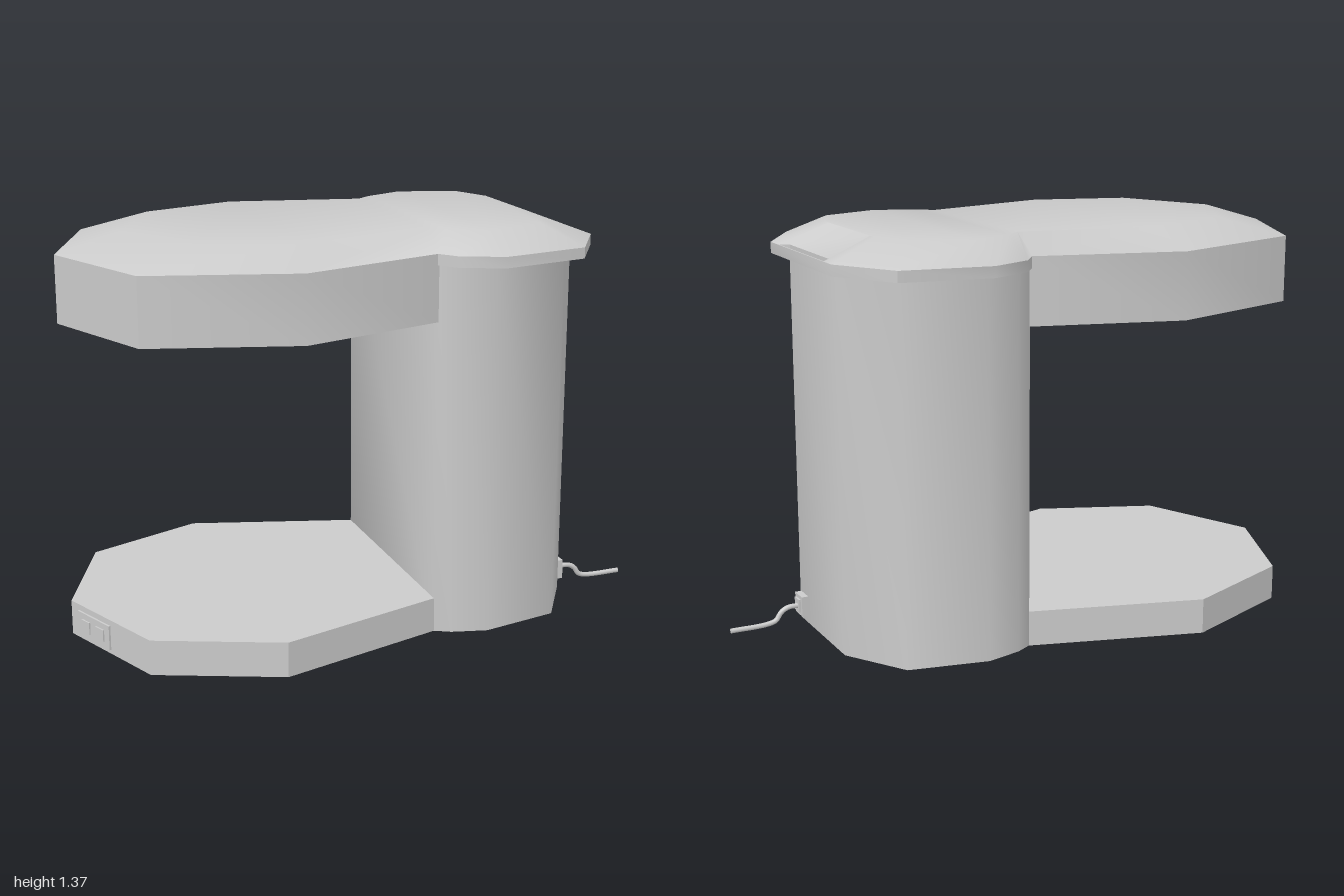
import * as THREE from 'three';
import { toCreasedNormals } from 'three/addons/utils/BufferGeometryUtils.js';

const material = new THREE.MeshStandardMaterial({ color: 0xcccccc });

function addMesh(parent, name, geometry) {
  const mesh = new THREE.Mesh(geometry, material);
  mesh.name = name;
  parent.add(mesh);
  return mesh;
}

// Closed plan outline from its +z half, mirrored across the x axis
function planShape(half) {
  const mirrored = half.filter(([, z]) => z > 0).reverse().map(([x, z]) => [x, -z]);
  return new THREE.Shape([...half, ...mirrored].map(([x, z]) => new THREE.Vector2(x, -z)));
}

// Upright prism of a plan shape between two heights
function prism(shape, y0, y1, crease) {
  const g = new THREE.ExtrudeGeometry(shape, { depth: y1 - y0, bevelEnabled: false });
  g.rotateX(-Math.PI / 2).translate(0, y0, 0);
  return toCreasedNormals(g, crease);
}

// Low dome: each station runs outer edge, inner edge, then both mirrored
function domeGeometry(outer, inner, yEdge, yTop) {
  const pos = [], index = [];
  outer.forEach(([ox, oz], i) => {
    const [ix, iz] = inner[i];
    pos.push(ox, yEdge, oz, ix, yTop, iz, ix, yTop, -iz, ox, yEdge, -oz);
  });
  for (let i = 0; i < outer.length - 1; i++) {
    for (let j = 0; j < 3; j++) {
      const a = i * 4 + j, b = a + 4;
      index.push(a, b, b + 1, a, b + 1, a + 1);
    }
  }
  const e = (outer.length - 1) * 4;
  index.push(e, e + 3, e + 2, e, e + 2, e + 1);
  const g = new THREE.BufferGeometry();
  g.setAttribute('position', new THREE.Float32BufferAttribute(pos, 3));
  g.setIndex(index);
  return toCreasedNormals(g, 0.8);
}

export function createModel() {
  const model = new THREE.Group();
  model.name = 'machine';

  // Base tray and overhanging head share a faceted nose
  const tray = [[-1, 0], [-0.83, 0.41], [-0.42, 0.578], [0.16, 0.405]];
  const head = [[-1, 0], [-0.83, 0.41], [-0.34, 0.55], [0.16, 0.405]];
  addMesh(model, 'baseTray', prism(planShape(tray), 0, 0.12, 0.6));
  addMesh(model, 'head', prism(planShape(head), 1.08, 1.305, 0.6));

  // Tall rear column
  const column = [[0.155, 0.405], [0.21, 0.435], [0.33, 0.465], [0.6, 0.41], [0.73, 0.2]];
  addMesh(model, 'column', prism(planShape(column), 0, 1.275, 1.1));

  // Lid rim over the column, with a slot at the back
  const lidEdge = [[0.15, 0.41], [0.2, 0.475], [0.34, 0.53], [0.64, 0.475], [0.77, 0.27]];
  const rim = planShape(lidEdge);
  rim.holes.push(new THREE.Path([
    [0.735, -0.18], [0.735, 0.18], [0.766, 0.2], [0.766, -0.2],
  ].map(([x, y]) => new THREE.Vector2(x, y))));
  addMesh(model, 'lidRim', prism(rim, 1.268, 1.305, 0.6));

  // Domed top across head and lid
  const outer = [...head.slice(0, 3), ...lidEdge, [0.766, 0.2], [0.735, 0.18]];
  const inner = [[-0.78, 0], [-0.62, 0.31], [-0.3, 0.41], [0.15, 0.31], [0.2, 0.35],
    [0.34, 0.41], [0.54, 0.35], [0.6, 0.21], [0.6, 0.18], [0.6, 0.17]];
  addMesh(model, 'domedTop', domeGeometry(outer, inner, 1.305, 1.37));

  // Control panel with two buttons on the nose of the tray
  const panel = new THREE.Group();
  panel.name = 'controlPanel';
  panel.position.set(-0.948, 0.057, 0.125);
  panel.rotation.y = Math.atan2(-0.41, 0.17);
  addMesh(panel, 'panelPlate', new THREE.BoxGeometry(0.18, 0.085, 0.014));
  for (const x of [-0.04, 0.04]) {
    addMesh(panel, 'button', new THREE.BoxGeometry(0.045, 0.042, 0.024)).position.x = x;
  }
  model.add(panel);

  // Power socket, plug and cable
  const socket = addMesh(model, 'socket', new THREE.BoxGeometry(0.03, 0.07, 0.065));
  socket.position.set(0.738, 0.062, 0.16);
  const plug = addMesh(model, 'plug', new THREE.BoxGeometry(0.02, 0.045, 0.04));
  plug.position.set(0.75, 0.062, 0.16);
  const path = new THREE.CatmullRomCurve3([
    [0.75, 0.06], [0.795, 0.059], [0.82, 0.045], [0.838, 0.02], [0.87, 0.011], [1, 0.01],
  ].map(([x, y]) => new THREE.Vector3(x, y, 0.156)));
  addMesh(model, 'cable', new THREE.TubeGeometry(path, 24, 0.009, 8));
  const end = addMesh(model, 'cableEnd', new THREE.CircleGeometry(0.009, 8));
  end.position.set(1, 0.01, 0.156);
  end.rotation.y = Math.PI / 2;

  return model;
}
